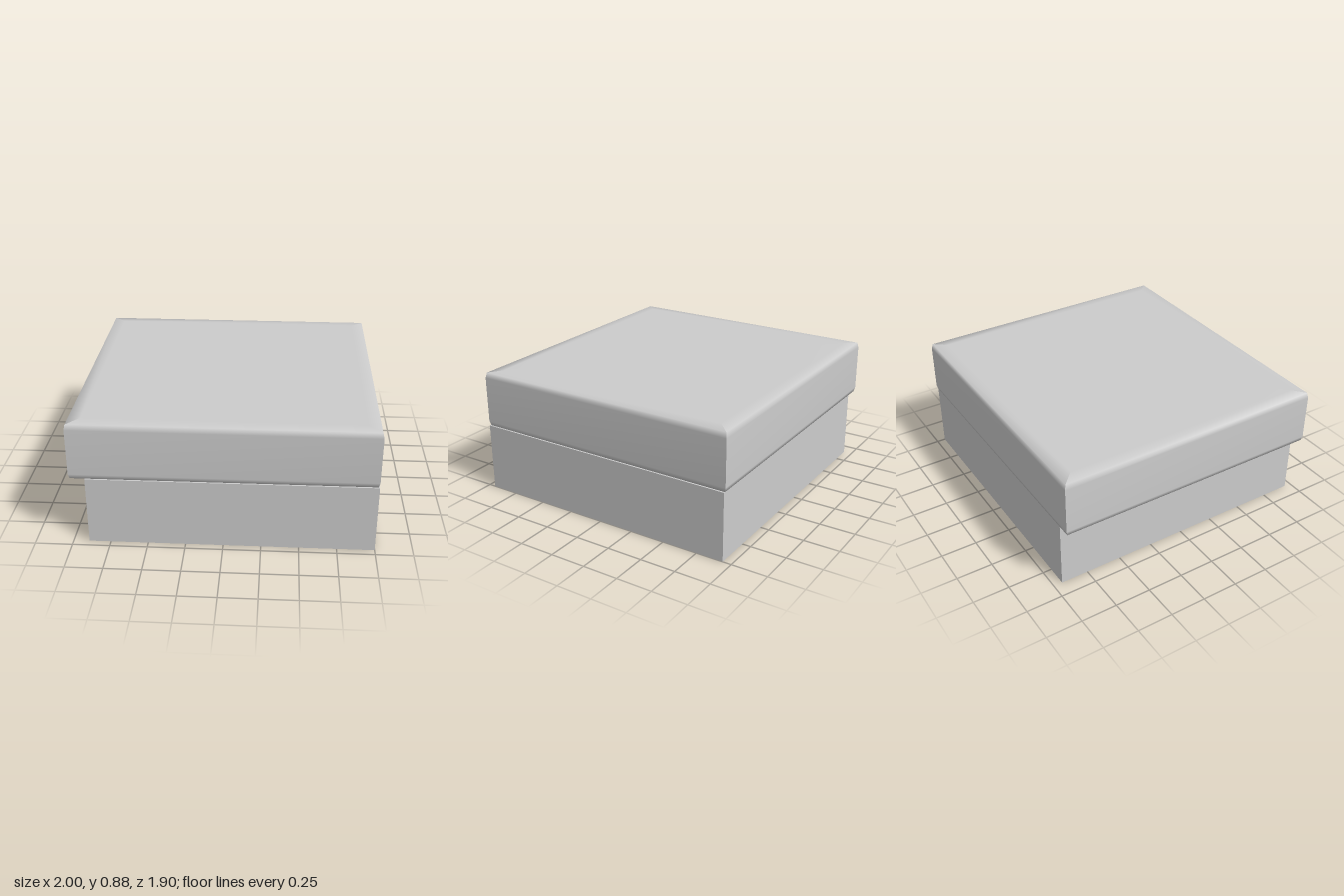
import * as THREE from 'three';

const material = new THREE.MeshStandardMaterial({ color: 0xcccccc });

function addMesh(parent, name, geometry, x = 0, y = 0, z = 0) {
  const mesh = new THREE.Mesh(geometry, material);
  mesh.name = name;
  mesh.position.set(x, y, z);
  parent.add(mesh);
  return mesh;
}

// Rectangular slab: one profile of [inset, y] swept along four sides.
// Smooth along the profile, sharp at the vertical corners.
function slabGeometry(hx, hz, profile) {
  const corners = [[1, 1], [1, -1], [-1, -1], [-1, 1]];
  const positions = [], index = [];
  for (let side = 0; side < 4; side++) {
    const start = positions.length / 3;
    for (const [inset, y] of profile) {
      for (const [sx, sz] of [corners[side], corners[(side + 1) % 4]]) {
        positions.push(sx * Math.max(0, hx - inset), y, sz * Math.max(0, hz - inset));
      }
    }
    for (let row = 0; row < profile.length - 1; row++) {
      const a = start + row * 2;
      index.push(a, a + 1, a + 3, a, a + 3, a + 2);
    }
  }
  const geometry = new THREE.BufferGeometry();
  geometry.setAttribute('position', new THREE.Float32BufferAttribute(positions, 3));
  geometry.setIndex(index);
  geometry.computeVertexNormals();
  return geometry;
}

function rectPath(path, hx, hy) {
  path.moveTo(-hx, -hy);
  path.lineTo(hx, -hy);
  path.lineTo(hx, hy);
  path.lineTo(-hx, hy);
  path.closePath();
  return path;
}

// Hollow rectangular frame lying flat, rising from y = 0 to y = height
function frameGeometry(hx, hz, wall, height) {
  const shape = rectPath(new THREE.Shape(), hx, hz);
  shape.holes.push(rectPath(new THREE.Path(), hx - wall, hz - wall));
  const geometry = new THREE.ExtrudeGeometry(shape, { depth: height, bevelEnabled: false });
  return geometry.rotateX(-Math.PI / 2);
}

export function createModel() {
  const model = new THREE.Group();
  model.name = 'liddedBox';

  // Lid with softened top and bottom edges
  addMesh(model, 'lid', slabGeometry(1, 0.95, [
    [1, 0.475], [0.08, 0.475], [0.008, 0.478], [0, 0.51],
    [0, 0.83], [0.008, 0.868], [0.09, 0.875], [1, 0.875],
  ]));

  // Base, set in from the lid on the right side
  const base = new THREE.Group();
  base.name = 'base';
  base.position.set(0.0525, 0, 0.005);
  model.add(base);
  const hx = 0.9475, hz = 0.945, wall = 0.02, floorY = 0.025;
  addMesh(base, 'baseWalls', frameGeometry(hx, hz, wall, 0.476));
  addMesh(base, 'baseFloor', new THREE.BoxGeometry(2 * (hx - wall), 0.02, 2 * (hz - wall)), 0, floorY + 0.01, 0);

  // Small shallow studs under the recessed floor
  const studs = [[0.77, -0.5, 0.8], [0.23, -0.66, 0], [-0.34, -0.64, 0.8], [-0.74, 0.01, 0]];
  for (const [x, z, turn] of studs) {
    const stud = addMesh(model, 'floorStud', frameGeometry(0.05, 0.05, 0.015, 0.008), x, floorY - 0.006, z);
    stud.rotation.y = turn;
  }
  return model;
}
